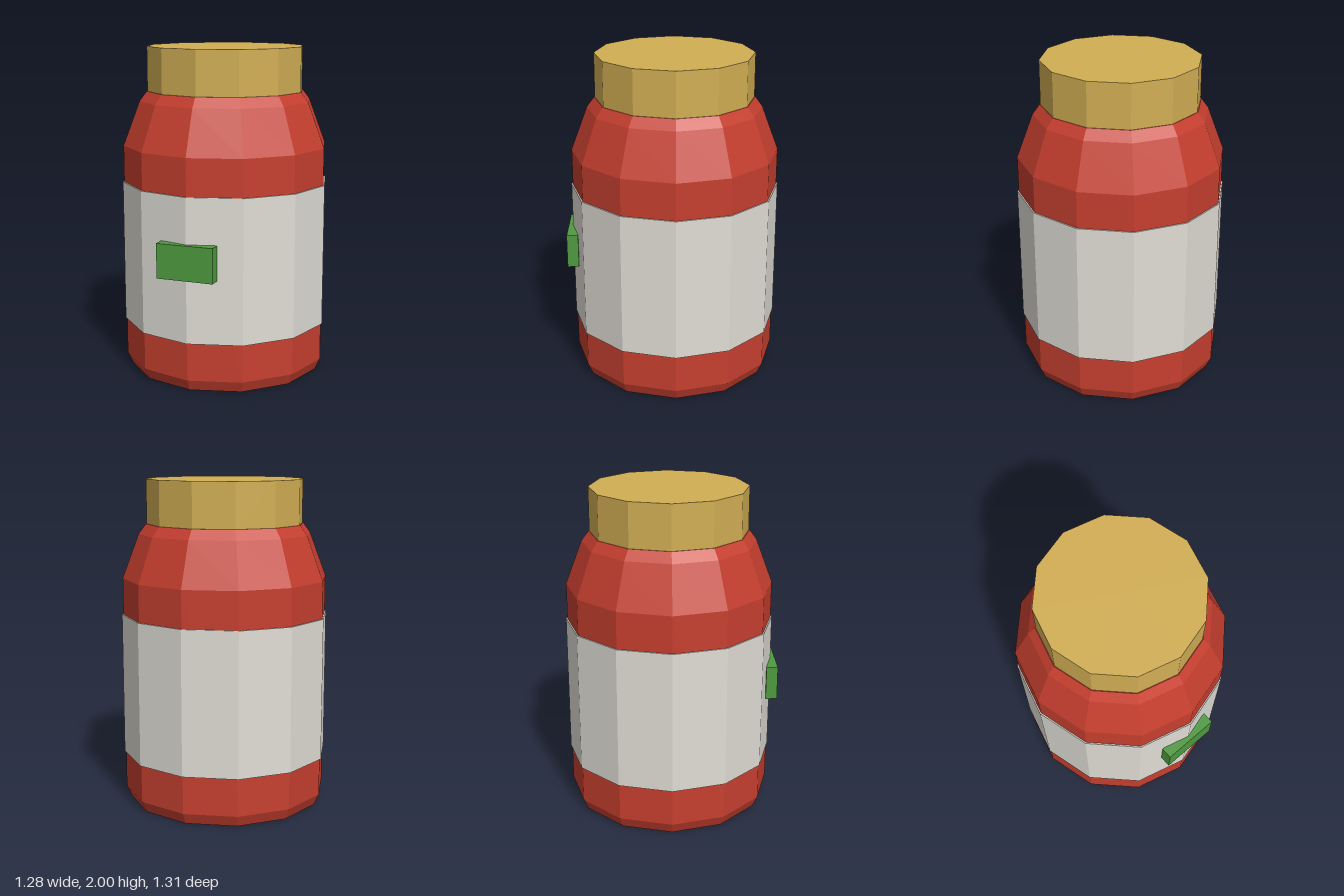
import * as THREE from 'three';

const SIDES = 12;

function paint(name, hex) {
  const material = new THREE.MeshStandardMaterial({ color: hex });
  material.name = name;
  material.flatShading = true;
  return material;
}

export function createModel() {
  const red = paint('red', 0xc63f2f);
  const gold = paint('gold', 0xd2ae54);
  const cream = paint('cream', 0xe0ddd5);
  const green = paint('green', 0x4f9a40);

  const model = new THREE.Group();
  model.name = 'jar';

  const add = (name, geometry, material, x, y, z) => {
    const mesh = new THREE.Mesh(geometry, material);
    mesh.name = name;
    mesh.position.set(x, y, z);
    model.add(mesh);
  };

  // The round parts sit slightly back to balance the front tag
  const z = -0.015;
  const band = (radius, bottom, top) => new THREE.CylinderGeometry(radius, radius, top - bottom, SIDES);

  // Body with chamfered foot and sloping shoulders
  const profile = [
    [0, 0], [0.6, 0], [0.632, 0.07], [0.632, 1.4], [0.53, 1.67], [0.485, 1.73], [0, 1.73],
  ].map(([r, y]) => new THREE.Vector2(r, y));
  add('body', new THREE.LatheGeometry(profile, SIDES), red, 0, 0, z);

  // Lid
  add('lid', band(0.481, 1.725, 2), gold, 0, 1.8625, z);

  // Wrapped label
  add('label', band(0.64, 0.3, 1.175), cream, 0, 0.7375, z);

  // Front tag
  add('tag', new THREE.BoxGeometry(0.35, 0.21, 0.07), green, 0, 0.793, 0.617);

  return model;
}
